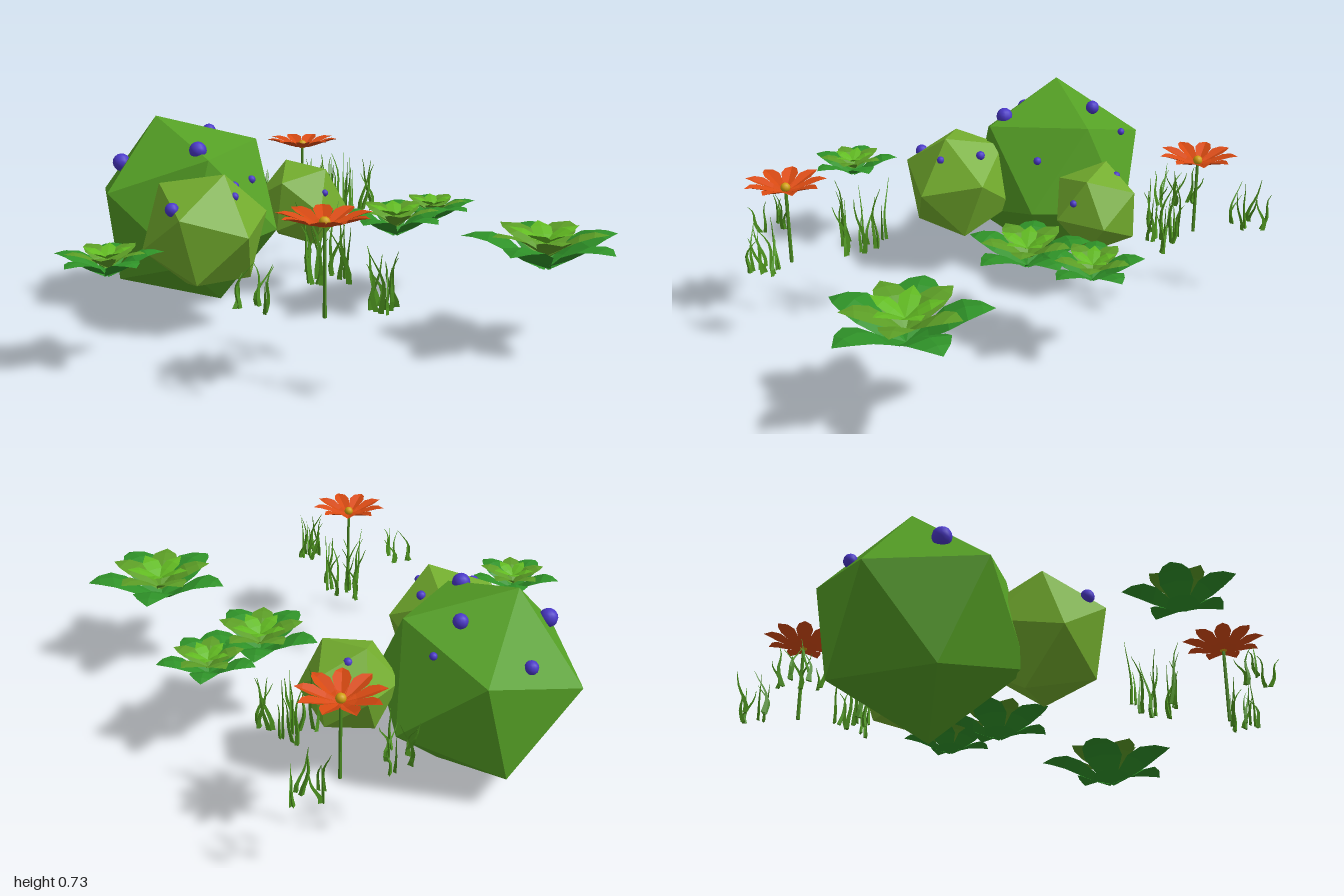
import * as THREE from 'three';
import { mergeGeometries } from 'three/addons/utils/BufferGeometryUtils.js';

const paint = (color, flat = true) => new THREE.MeshStandardMaterial({ color, flatShading: flat, side: THREE.DoubleSide });
const MAT = {
  bush: paint(0x55a025), bushLight: paint(0x74ae2e), berry: paint(0x4a38c8, false),
  leafOuter: paint(0x2f9228), leafMiddle: paint(0x5c9e26), leafInner: paint(0x62bb22),
  petal: paint(0xd84a12), pollen: paint(0xd0a010, false), stem: paint(0x4a8a20), grass: paint(0x4f9620),
};

let seed = 7;
const rand = () => (seed = (seed * 16807) % 2147483647) / 2147483647;

function add(parent, name, geometry, material) {
  const mesh = new THREE.Mesh(geometry, material);
  mesh.name = name;
  parent.add(mesh);
  return mesh;
}

// Rotation frame with its first axis on a, second axis towards b
function frame(a, b) {
  const x = a.clone().normalize();
  const z = x.clone().cross(b).normalize();
  return new THREE.Matrix4().makeBasis(x, z.clone().cross(x), z);
}

// Icosahedron bush, turned so one corner points along 'top' and its neighbour along 'side'
function makeBush({ name, center, radius, top, side, material, berries }) {
  const bush = new THREE.Group();
  bush.name = name;
  const phi = (1 + Math.sqrt(5)) / 2;
  const turn = frame(new THREE.Vector3(...top), new THREE.Vector3(...side)).multiply(
    frame(new THREE.Vector3(0, 1, phi), new THREE.Vector3(0, -1, phi)).transpose());
  const body = new THREE.IcosahedronGeometry(radius, 0).applyMatrix4(turn);
  add(bush, 'foliage', body, material).position.set(...center);
  for (const [x, y, z, r] of berries) {
    add(bush, 'berry', new THREE.SphereGeometry(r, 12, 8), MAT.berry).position.set(x, y, z);
  }
  return bush;
}

// Folded leaf along +z; each station is [distance, height, halfWidth], edges lifted by fold * halfWidth
function leafGeometry(stations, fold) {
  const pos = [], index = [];
  stations.forEach(([d, y, w], i) => {
    pos.push(-w, y + fold * w, d, 0, y, d, w, y + fold * w, d);
    if (i === 0) return;
    for (let k = 0; k < 2; k++) {
      const a = (i - 1) * 3 + k, b = a + 3;
      index.push(a, b, a + 1, a + 1, b, b + 1);
    }
  });
  const g = new THREE.BufferGeometry();
  g.setAttribute('position', new THREE.Float32BufferAttribute(pos, 3));
  g.setIndex(index);
  g.computeVertexNormals();
  return g;
}

function ring(leaf, count, start) {
  return mergeGeometries(Array.from({ length: count }, (_, i) =>
    leaf.clone().rotateY(start + (i * 2 * Math.PI) / count)));
}

// Three-layered rosette of broad leaves
function makeRosette(x, z, scale) {
  const rosette = new THREE.Group();
  rosette.name = 'leafRosette';
  const outer = [[0, -0.07, 0.02], [0.07, -0.03, 0.05], [0.13, 0.015, 0.08], [0.19, 0.04, 0.075], [0.245, 0.04, 0.045], [0.29, 0.025, 0]];
  const middle = [[0, -0.03, 0.015], [0.06, 0.015, 0.045], [0.11, 0.045, 0.06], [0.16, 0.058, 0.045], [0.21, 0.055, 0]];
  const inner = [[0, 0.015, 0.01], [0.04, 0.04, 0.033], [0.08, 0.06, 0.036], [0.13, 0.068, 0]];
  add(rosette, 'outerLeaves', ring(leafGeometry(outer, -0.15), 5, Math.PI), MAT.leafOuter);
  add(rosette, 'middleLeaves', ring(leafGeometry(middle, -0.1), 5, 0), MAT.leafMiddle);
  add(rosette, 'innerLeaves', ring(leafGeometry(inner, -0.1), 5, Math.PI), MAT.leafInner);
  rosette.scale.setScalar(scale);
  rosette.position.set(x, 0.37, z);
  return rosette;
}

// Star-shaped flower on a thin stem
function makeFlower(x, z, turn) {
  const flower = new THREE.Group();
  flower.name = 'flower';
  const petal = [[0, 0.535, 0.004], [0.05, 0.545, 0.02], [0.095, 0.56, 0.031], [0.125, 0.57, 0.022], [0.152, 0.575, 0]];
  add(flower, 'petals', ring(leafGeometry(petal, 0.35), 9, turn), MAT.petal);
  add(flower, 'flowerCentre', new THREE.SphereGeometry(0.018, 12, 8), MAT.pollen).position.y = 0.55;
  add(flower, 'stem', new THREE.CylinderGeometry(0.006, 0.007, 0.29, 6), MAT.stem).position.y = 0.395;
  flower.position.set(x, 0, z);
  return flower;
}

// Wavy tapering blade with a three-sided section
function bladeGeometry(height) {
  const g = new THREE.CylinderGeometry(0.001, 0.011, height, 3, 6).translate(0, height / 2, 0);
  const p = g.attributes.position, phase = rand() * 6.28, lean = 0.02 + rand() * 0.03;
  for (let i = 0; i < p.count; i++) {
    const t = p.getY(i) / height;
    p.setX(i, p.getX(i) + lean * t * t + 0.009 * (Math.sin(t * 6 + phase) - Math.sin(phase)));
    p.setZ(i, p.getZ(i) * 0.6);
  }
  return g.rotateY(rand() * 6.28);
}

function makeGrass(height, spots) {
  const blades = spots.flatMap(([x, z]) => [0, 1].map((k) =>
    bladeGeometry(height * (k ? 0.6 + rand() * 0.2 : 0.8 + rand() * 0.2))
      .translate(x + (k ? rand() - 0.5 : 0) * 0.04, 0.3, z + (k ? rand() - 0.5 : 0) * 0.04)));
  const mesh = new THREE.Mesh(mergeGeometries(blades), MAT.grass);
  mesh.name = 'grassTuft';
  return mesh;
}

export function createModel() {
  const model = new THREE.Group();
  model.name = 'garden';

  // Bushes with berries
  model.add(makeBush({
    name: 'largeBush', center: [-0.58, 0.371, -0.27], radius: 0.384, material: MAT.bush,
    top: [-0.12, 0.365, -0.03], side: [0.28, 0.27, -0.08],
    berries: [[-0.825, 0.57, -0.19, 0.034], [-0.525, 0.635, -0.05, 0.033], [-0.33, 0.505, -0.15, 0.016],
      [-0.5, 0.66, -0.41, 0.027], [-0.735, 0.535, -0.49, 0.025], [-0.41, 0.58, -0.51, 0.014]],
  }));
  model.add(makeBush({
    name: 'mediumBush', center: [-0.495, 0.373, 0.14], radius: 0.237, material: MAT.bushLight,
    top: [0.075, 0.215, 0.065], side: [-0.075, 0.08, 0.205],
    berries: [[-0.39, 0.52, 0.07, 0.018], [-0.385, 0.513, 0.23, 0.015], [-0.6, 0.48, 0.285, 0.025]],
  }));
  model.add(makeBush({
    name: 'smallBush', center: [-0.132, 0.375, -0.345], radius: 0.183, material: MAT.bushLight,
    top: [-0.06, 0.165, -0.05], side: [-0.19, 0.017, -0.012],
    berries: [[-0.13, 0.5, -0.42, 0.017], [-0.045, 0.432, -0.235, 0.014]],
  }));

  // Leaf rosettes
  for (const [x, z, s] of [[0.67, 0.465, 1], [0.21, -0.01, 0.8], [0.38, -0.21, 0.65], [-0.79, 0.565, 0.65]]) {
    model.add(makeRosette(x, z, s));
  }

  // Flowers, each ringed by three tufts of grass
  model.add(makeFlower(-0.115, -0.74, 0), makeFlower(-0.1, 0.83, Math.PI));
  const tufts = [
    [0.18, [[0.02, -0.97], [-0.07, -0.945], [0, -0.91], [-0.07, -0.88]]],
    [0.16, [[-0.29, -0.77], [-0.34, -0.73], [-0.27, -0.71], [-0.33, -0.67], [-0.28, -0.64]]],
    [0.25, [[0.03, -0.63], [0.08, -0.59], [0.05, -0.56], [-0.02, -0.53], [0.06, -0.52], [0.12, -0.54], [0.17, -0.53]]],
    [0.25, [[-0.14, 0.47], [-0.06, 0.52], [-0.11, 0.56], [-0.02, 0.56], [-0.14, 0.61], [-0.1, 0.64], [-0.01, 0.63]]],
    [0.17, [[-0.36, 0.88], [-0.3, 0.86], [-0.28, 0.93]]],
    [0.19, [[0.06, 0.87], [0.03, 0.92], [0.09, 0.93], [0.1, 0.89], [0.06, 0.96]]],
  ];
  for (const [height, spots] of tufts) model.add(makeGrass(height, spots));

  return model;
}
